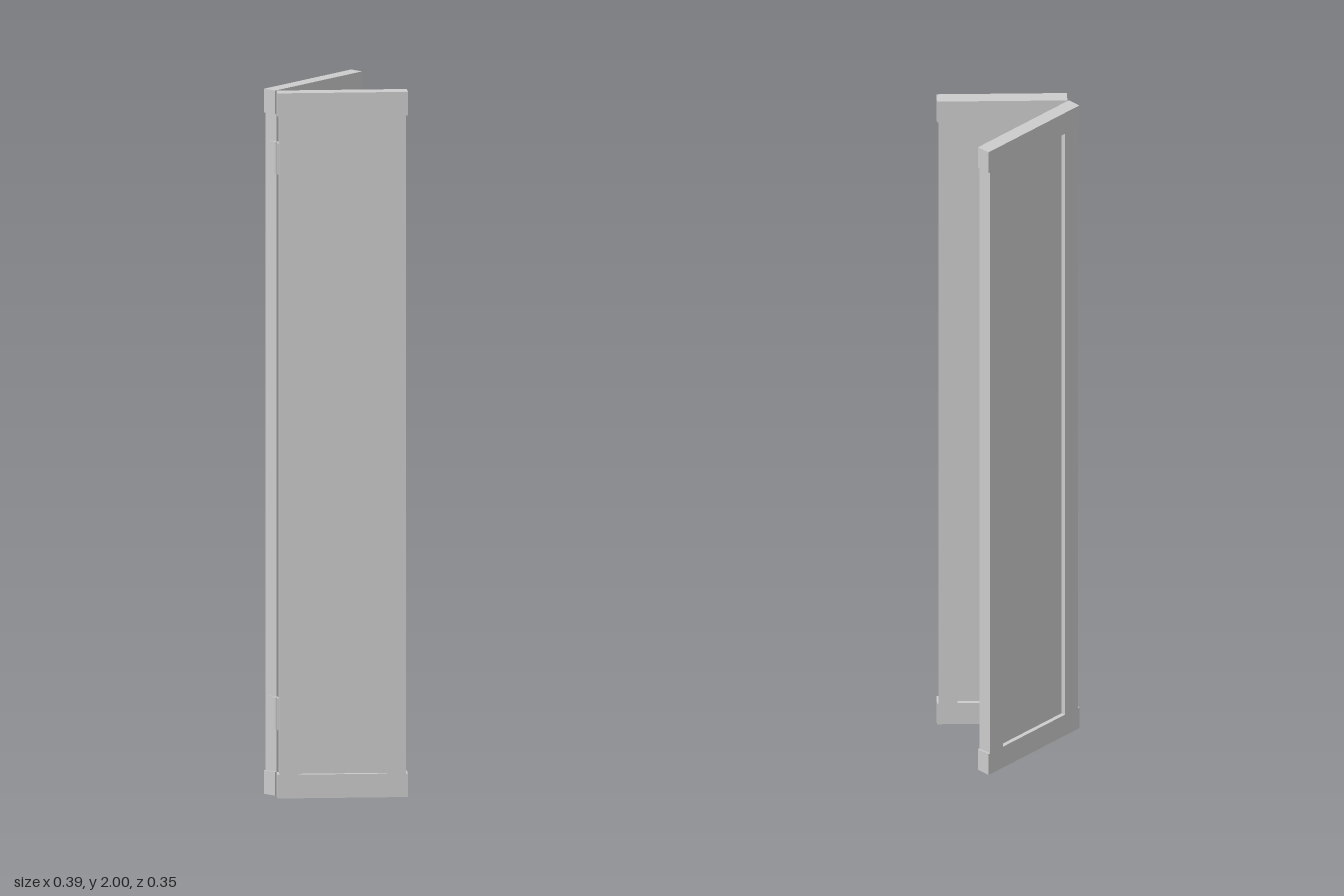
import * as THREE from 'three';

const W = 0.363, H = 2, T = 0.041;          // leaf width, height, thickness
const RAIL = 0.067, STILE = 0.058, INSET = 0.005, PANEL_T = 0.016;
const material = new THREE.MeshStandardMaterial({ color: 0xcccccc, flatShading: true });
const HINGE_Y = [0.235, 1.81], HINGE_H = 0.09;

function box(name, w, h, d, x, y, z) {
  const mesh = new THREE.Mesh(new THREE.BoxGeometry(w, h, d), material);
  mesh.name = name;
  mesh.position.set(x, y, z);
  return mesh;
}

// One framed leaf; local -x is the hinged edge, hingeSide is the z face beside the pin
function createLeaf(name, x, z, angle, hingeSide) {
  const leaf = new THREE.Group();
  leaf.name = name;
  // rails run the full width, stiles sit slightly inside their ends
  leaf.add(box('bottomRail', W, RAIL, T, 0, RAIL / 2, 0));
  leaf.add(box('topRail', W, RAIL, T, 0, H - RAIL / 2, 0));
  const stileW = STILE - INSET;
  for (const s of [-1, 1]) {
    leaf.add(box(s < 0 ? 'hingeStile' : 'freeStile', stileW, H - 2 * RAIL, T,
      s * (W / 2 - INSET - stileW / 2), H / 2, 0));
  }
  // recessed infill
  leaf.add(box('panel', W - 2 * STILE, H - 2 * RAIL, PANEL_T, 0, H / 2, 0));
  // thin hinge plates on the hinged edge
  for (const y of HINGE_Y) {
    leaf.add(box('hingePlate', 0.004, HINGE_H, 0.024, -W / 2 + INSET - 0.002, y, hingeSide * (T / 2 - 0.012)));
  }
  leaf.position.set(x, 0, z);
  leaf.rotation.y = -angle;
  return leaf;
}

export function createModel() {
  const model = new THREE.Group();
  model.name = 'foldingShutter';
  model.add(createLeaf('backLeaf', 0.0135, -0.1375, 0.104, 1));
  model.add(createLeaf('frontLeaf', -0.067, 0.0205, 0.886, -1));

  // hinge pins between the two leaves
  for (const y of HINGE_Y) {
    const pin = new THREE.Mesh(new THREE.CylinderGeometry(0.007, 0.007, HINGE_H, 8), material);
    pin.name = 'hingePin';
    pin.position.set(-0.168, y, -0.134);
    model.add(pin);
  }
  return model;
}
